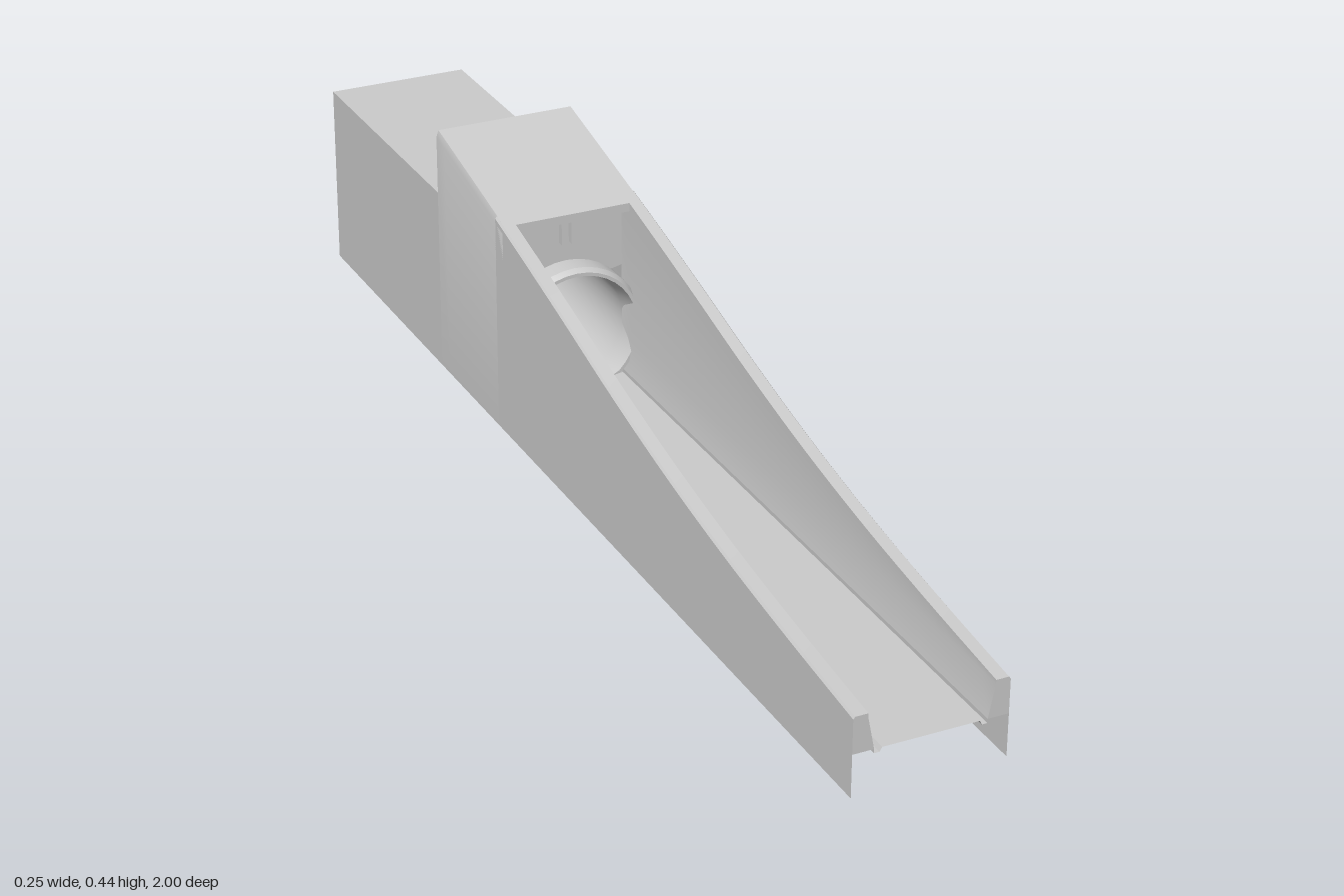
import * as THREE from 'three';
import { toCreasedNormals } from 'three/addons/utils/BufferGeometryUtils.js';

const material = new THREE.MeshStandardMaterial({ color: 0xcccccc, side: THREE.DoubleSide });

// Skin a row of cross-sections, each a list of [x, y, z]
function loft(sections) {
  const n = sections[0].length, index = [];
  for (let s = 0; s < sections.length - 1; s++) {
    for (let i = 0; i < n - 1; i++) {
      const a = s * n + i, b = a + n;
      index.push(a, b, a + 1, a + 1, b, b + 1);
    }
  }
  const g = new THREE.BufferGeometry();
  g.setAttribute('position', new THREE.Float32BufferAttribute(sections.flat(2), 3));
  g.setIndex(index);
  return toCreasedNormals(g, 0.5);
}

// Complete a right-hand half profile with its mirror image
const mirror = (half) => half.concat(half.map(([x, y]) => [-x, y]).reverse());
const at = (profile, z) => profile.map(([x, y]) => [x, y, z]);
const range = (a, b, n) => Array.from({ length: n + 1 }, (_, i) => a + (b - a) * i / n);

// Rising top edge of the side walls
const rise = new THREE.SplineCurve([
  [-1, 0.135], [-0.8, 0.158], [-0.6, 0.186], [-0.4, 0.223], [-0.2, 0.27],
  [0, 0.324], [0.22, 0.38], [0.5, 0.445],
].map(([x, y]) => new THREE.Vector2(x, y)));
const topEdge = (z) => {
  let lo = 0, hi = 1;
  for (let i = 0; i < 30; i++) {
    const mid = (lo + hi) / 2;
    if (rise.getPoint(mid).x < -z) lo = mid; else hi = mid;
  }
  return rise.getPoint(lo).y;
};

const W = 0.127, IN = 0.103, FLOOR = 0.073;
const MOUTH = -0.22, BULK = -0.25, STEP = -0.5, BACK = -1;

export function createModel() {
  const model = new THREE.Group();
  const add = (name, geometry) => {
    const mesh = new THREE.Mesh(geometry, material);
    mesh.name = name;
    model.add(mesh);
    return mesh;
  };

  // Open trough: outer skins, wall tops and inner walls
  for (const s of [1, -1]) {
    const wall = (z) => {
      const h = topEdge(z);
      const p = [[W, 0], [W, h - 0.004], [W - 0.003, h], [IN, h], [IN, 0.128], [0.092, FLOOR]];
      return at(s > 0 ? p : p.map(([x, y]) => [-x, y]).reverse(), z);
    };
    add(s > 0 ? 'leftWall' : 'rightWall', loft(range(1, BULK, 30).map(wall)));

    // Wedge-shaped wall end at the front
    const end = new THREE.Shape([
      [0.092, FLOOR], [W, FLOOR], [W, 0.131], [W - 0.003, 0.135], [IN, 0.135], [IN, 0.128],
    ].map(([x, y]) => new THREE.Vector2(s * x, y)));
    add('wallEnd', new THREE.ShapeGeometry(end).translate(0, 0, 1));

    // Underside strip closing the hollow wall
    add('wallUnderside', new THREE.PlaneGeometry(W - 0.092, 2)
      .rotateX(Math.PI / 2).translate(s * (W + 0.092) / 2, FLOOR, 0));
  }

  // Floor with a shallow groove along each side
  const floor = mirror([[0.092, FLOOR], [0.092, 0.066], [0.083, 0.066], [0.079, FLOOR]]);
  add('floor', loft([at(floor, 1), at(floor, BACK)]));

  // Raised hood and its rear face
  const hood = (z) => {
    const h = topEdge(z);
    return at(mirror([[W, 0], [W, h - 0.012], [W - 0.004, h]]), z);
  };
  add('hood', loft(range(MOUTH, STEP, 8).map(hood)));
  const hoodBack = new THREE.Shape([
    [-W, 0.33], [W, 0.33], [W, 0.433], [W - 0.004, 0.445], [-W + 0.004, 0.445], [-W, 0.433],
  ].map(([x, y]) => new THREE.Vector2(x, y)));
  add('hoodBack', new THREE.ShapeGeometry(hoodBack).rotateY(Math.PI).translate(0, 0, STEP));

  // Front lip of the hood
  const lipTop = topEdge(MOUTH);
  add('hoodLip', loft([
    [[-IN, lipTop, MOUTH], [-IN, 0.365, MOUTH], [-IN, 0.365, BULK]],
    [[IN, lipTop, MOUTH], [IN, 0.365, MOUTH], [IN, 0.365, BULK]],
  ]));

  // Bulkhead under the hood, with a pair of small clip ribs
  const bulkhead = new THREE.Shape([
    [-IN, 0.365], [-IN, 0.255], [-0.08, 0.25], [0.08, 0.25], [IN, 0.255], [IN, 0.365],
  ].map(([x, y]) => new THREE.Vector2(x, y)));
  add('bulkhead', new THREE.ShapeGeometry(bulkhead).translate(0, 0, BULK));
  for (const x of [-0.009, 0.009]) {
    add('clipRib', new THREE.BoxGeometry(0.007, 0.048, 0.012)).position.set(x, 0.341, BULK + 0.006);
  }

  // Rear sleeve, open at the back and below
  const sleeve = mirror([[W, 0], [W, 0.33]]);
  add('rearSleeve', loft([at(sleeve, STEP), at(sleeve, BACK)]));

  // Round tunnel through the rear, with a flared collar at its mouth
  const profile = [
    [0.123, -0.3], [0.123, -0.215], [0.117, -0.205], [0.111, -0.205], [0.104, -0.25], [0.104, BACK],
  ];
  const angles = range(-0.31 * Math.PI, 1.31 * Math.PI, 30);
  add('tunnel', loft(profile.map(([r, z]) =>
    angles.map((a) => [r * Math.cos(a), Math.max(0.16 + r * Math.sin(a), FLOOR), z]))));

  return model;
}
